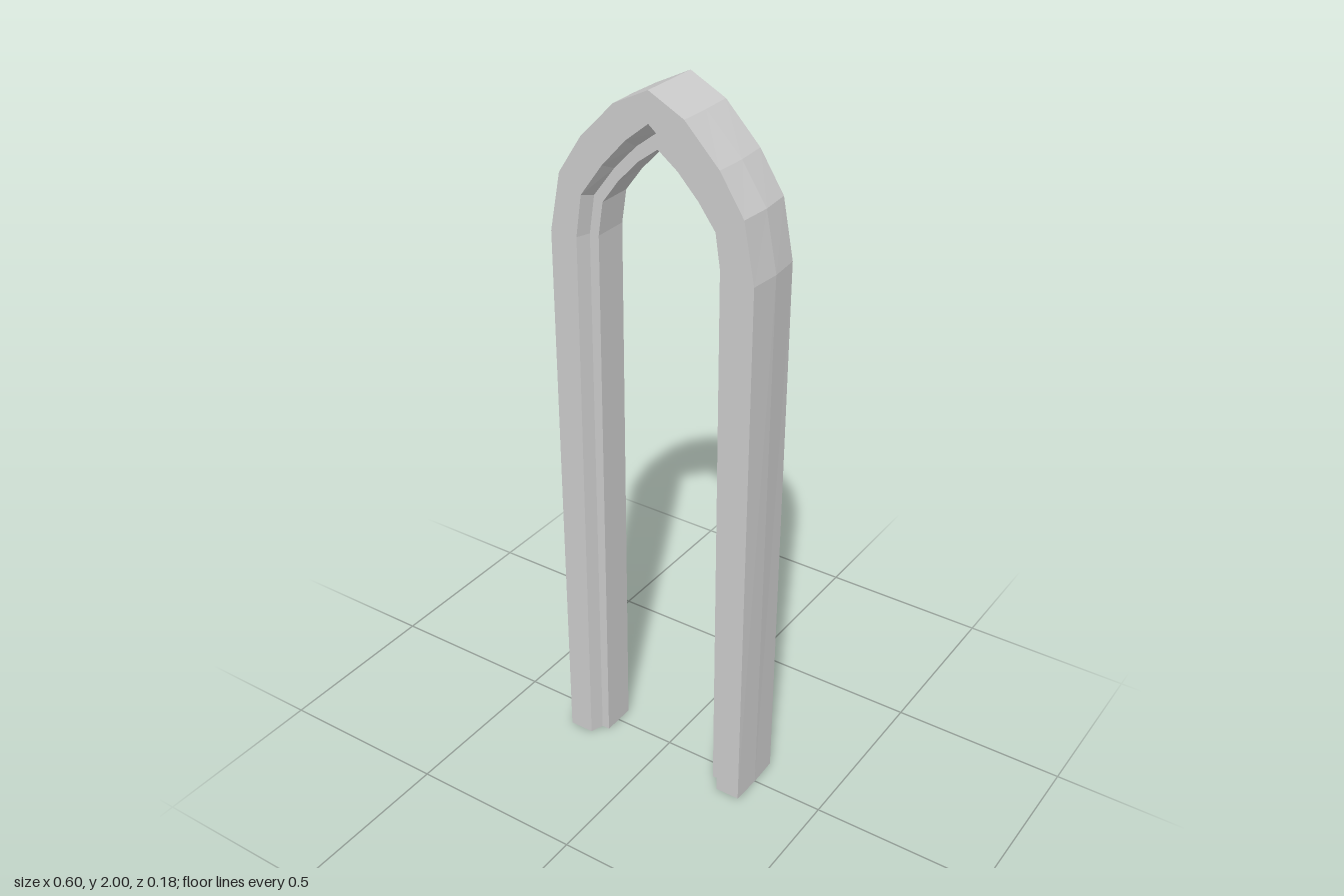
import * as THREE from 'three';

// Right half of the arch from foot to apex; each station gives [x, y]
// on the outer face, the front lip edge, the step and the opening.
const STATIONS = [
  [[0.29, 0], [0.219, 0], [0.206, 0], [0.183, 0]],
  [[0.295, 1.585], [0.217, 1.585], [0.204, 1.585], [0.177, 1.585]],
  [[0.264, 1.745], [0.2, 1.7], [0.188, 1.69], [0.163, 1.677]],
  [[0.196, 1.85], [0.135, 1.79], [0.126, 1.773], [0.115, 1.742]],
  [[0.099, 1.95], [0.066, 1.866], [0.061, 1.841], [0.056, 1.804]],
  [[0, 2], [0, 1.92], [0, 1.888], [0, 1.846]],
];
const FRONT = 0.088; // half depth of the outer moulding
const STEP = 0.05;   // half depth of the inner moulding

// Closed cross-section: outer ridge, front edge, step, opening, then the back
function section([outer, lip, step, inner], side) {
  const p = ([x, y], z) => [x * side, y, z];
  const ridge = [outer[0] * (outer[1] > 0 ? 1.024 : 1.01), outer[1]];
  return [
    p(ridge, 0), p(outer, FRONT), p(lip, FRONT), p(step, STEP), p(inner, STEP),
    p(inner, -STEP), p(step, -STEP), p(lip, -FRONT), p(outer, -FRONT),
  ];
}

function archGeometry() {
  const rings = [
    ...STATIONS.map((s) => section(s, 1)),
    ...STATIONS.slice(0, -1).reverse().map((s) => section(s, -1)),
  ];
  const n = rings[0].length;
  const last = rings.length - 1;
  const index = [];

  // Skin between neighbouring sections
  for (let i = 0; i < last; i++) {
    for (let j = 0; j < n; j++) {
      const k = (j + 1) % n;
      const a = i * n + j, b = i * n + k, c = a + n, d = b + n;
      index.push(a, c, b, b, c, d);
    }
  }
  // Flat undersides of the two feet
  for (let j = 1; j < n - 1; j++) {
    index.push(0, j, j + 1);
    index.push(last * n, last * n + j + 1, last * n + j);
  }

  const indexed = new THREE.BufferGeometry();
  indexed.setAttribute('position', new THREE.Float32BufferAttribute(rings.flat(2), 3));
  indexed.setIndex(index);
  const geometry = indexed.toNonIndexed();
  geometry.computeVertexNormals();
  return geometry;
}

export function createModel() {
  const group = new THREE.Group();
  group.name = 'pointedArch';
  const material = new THREE.MeshStandardMaterial({ color: 0xcccccc, flatShading: true });
  const frame = new THREE.Mesh(archGeometry(), material);
  frame.name = 'archFrame';
  group.add(frame);
  return group;
}
